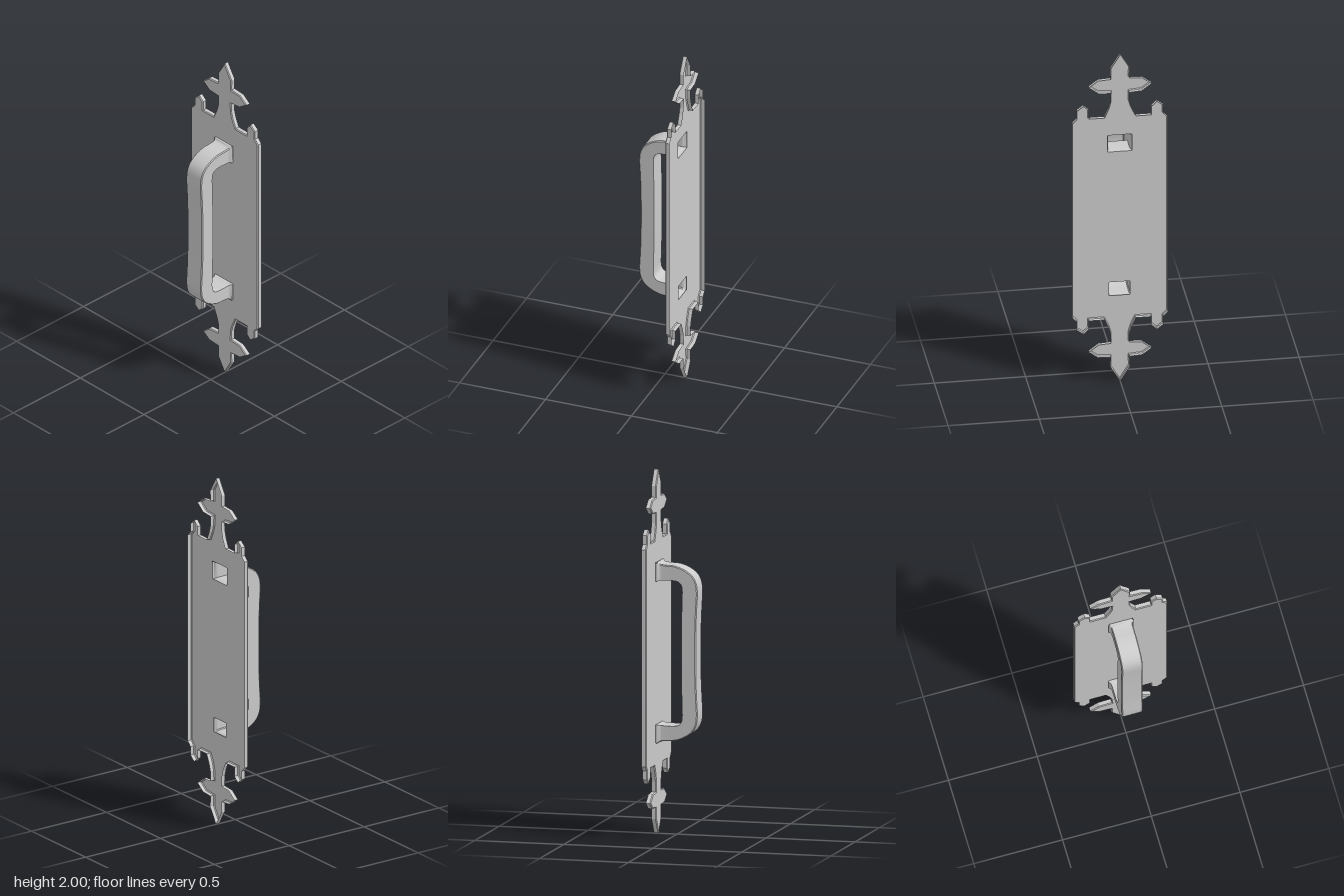
import * as THREE from 'three';
import { toCreasedNormals } from 'three/addons/utils/BufferGeometryUtils.js';

const MID = 1; // height of the horizontal mirror line
const BACK = -0.129, FRONT = -0.102; // plate rim and face
const CHAMFER = 0.005;

// One quarter of the plate outline, from the top tip to the side edge
const QUARTER = [
  [0, 1], [0.053, 0.914], [0.052, 0.852], [0.122, 0.847], [0.172, 0.81],
  [0.119, 0.77], [0.05, 0.765], [0.052, 0.709], [0.063, 0.67], [0.086, 0.618],
  [0.171, 0.618], [0.171, 0.67], [0.202, 0.698], [0.237, 0.67], [0.237, 0.621], [0.262, 0.595],
];

// Handle stations from the upper foot to the middle: outer z, y, inner z, y, half width
const HALF_HANDLE = [
  [FRONT, 0.496, FRONT, 0.394, 0.067],
  [-0.095, 0.498, -0.095, 0.393, 0.07],
  [-0.082, 0.488, -0.082, 0.397, 0.061],
  [-0.05, 0.483, -0.04, 0.399, 0.059],
  [0, 0.480, 0, 0.399, 0.059],
  [0.05, 0.464, 0.025, 0.392, 0.059],
  [0.1, 0.429, 0.04, 0.375, 0.059],
  [0.122, 0.389, 0.045, 0.347, 0.059],
  [0.129, 0.34, 0.045, 0.32, 0.059],
  [0.125, 0.25, 0.043, 0.25, 0.059],
  [0.121, 0.15, 0.041, 0.15, 0.059],
  [0.12, 0, 0.04, 0, 0.059],
];

const vectors = (points) => points.map(([x, y]) => new THREE.Vector2(x, y));

function makePlate(material) {
  const right = [...QUARTER, ...QUARTER.map(([x, y]) => [x, -y]).reverse()];
  const left = right.slice(1, -1).map(([x, y]) => [-x, y]).reverse();
  const shape = new THREE.Shape(vectors([...right, ...left]));

  // Openings into the two hollow handle feet
  for (const s of [1, -1]) {
    const [w, y0, y1] = [0.062, 0.399 * s, 0.491 * s];
    shape.holes.push(new THREE.Path(vectors([[-w, y0], [w, y0], [w, y1], [-w, y1]])));
  }
  const thickness = FRONT - BACK;
  const solid = new THREE.ExtrudeGeometry(shape, {
    depth: thickness - CHAMFER, bevelEnabled: true, bevelThickness: CHAMFER,
    bevelSize: CHAMFER, bevelOffset: -CHAMFER, bevelSegments: 1,
  });

  // Pressed sheet: keep the face, chamfer and rim; drop the back and the opening walls
  const source = solid.attributes.position;
  const positions = [];
  for (let i = 0; i < source.count; i += 3) {
    const corners = [0, 1, 2].map((k) => new THREE.Vector3().fromBufferAttribute(source, i + k));
    const lowest = Math.min(...corners.map((p) => p.z));
    const onFace = lowest > thickness - 1e-4;
    const onRim = lowest > -1e-4 && Math.hypot(corners[0].x, corners[0].y) > 0.55;
    if (onFace || onRim) for (const p of corners) positions.push(p.x, p.y + MID, p.z + BACK);
  }
  const geometry = new THREE.BufferGeometry();
  geometry.setAttribute('position', new THREE.Float32BufferAttribute(positions, 3));
  geometry.computeVertexNormals();
  const plate = new THREE.Mesh(geometry, material);
  plate.name = 'backPlate';
  return plate;
}

function makeHandle(material) {
  const stations = [...HALF_HANDLE,
    ...HALF_HANDLE.slice(0, -1).map(([a, b, c, d, w]) => [a, -b, c, -d, w]).reverse()];
  // Half width rides along in the x of both curves
  const outer = new THREE.CatmullRomCurve3(stations.map(([z, y, , , w]) => new THREE.Vector3(w, y, z)));
  const inner = new THREE.CatmullRomCurve3(stations.map(([, , z, y, w]) => new THREE.Vector3(w, y, z)));
  const steps = (stations.length - 1) * 4, sides = 6;
  const positions = [], index = [];

  for (let i = 0; i <= steps; i++) {
    const o = outer.getPoint(i / steps), n = inner.getPoint(i / steps), w = o.x;
    const e = n.clone().sub(o).setX(0).setLength(CHAMFER).add(o);
    // Rectangle with its two outer corners chamfered
    const ring = [[CHAMFER - w, o], [w - CHAMFER, o], [w, e], [w, n], [-w, n], [-w, e]];
    for (const [x, p] of ring) positions.push(x, MID + p.y, p.z);
  }
  for (let i = 0; i < steps; i++) {
    for (let j = 0; j < sides; j++) {
      const a = i * sides + j, b = i * sides + (j + 1) % sides;
      index.push(a, a + sides, b + sides, a, b + sides, b);
    }
  }
  const geometry = new THREE.BufferGeometry();
  geometry.setAttribute('position', new THREE.Float32BufferAttribute(positions, 3));
  geometry.setIndex(index);
  const handle = new THREE.Mesh(toCreasedNormals(geometry, 0.6), material);
  handle.name = 'pullHandle';
  return handle;
}

export function createModel() {
  const group = new THREE.Group();
  group.name = 'doorPull';
  // Both parts are thin shells, open at the back
  const grey = { color: 0xcccccc, side: THREE.DoubleSide };
  const plateMaterial = new THREE.MeshStandardMaterial({ ...grey, flatShading: true });
  const handleMaterial = new THREE.MeshStandardMaterial(grey);
  group.add(makePlate(plateMaterial), makeHandle(handleMaterial));
  return group;
}
